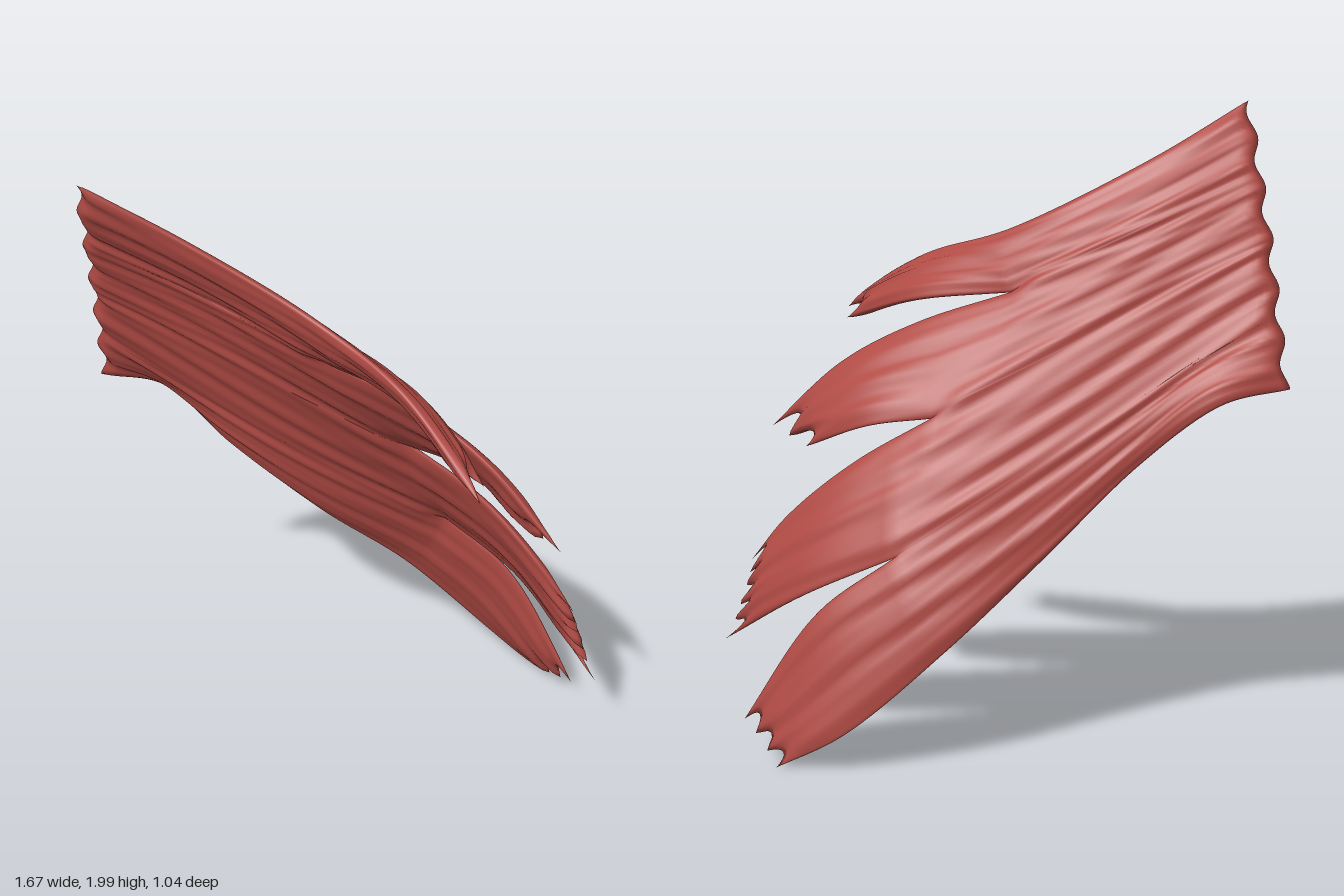
import * as THREE from 'three';
import { mergeVertices } from 'three/addons/utils/BufferGeometryUtils.js';

const ROWS = 80;        // steps along the fibres
const COLS = 26;        // steps across each slip
const HALF = 0.027;     // half thickness of the sheet

const vec = (x, y, z) => new THREE.Vector3(x, y, z);
const smooth = THREE.MathUtils.smoothstep;

// Attached border of the fan, bowed backward: t = 0 at the top, 1 at the bottom
const origin = (t) => vec(-0.81, 2, -0.13).lerp(vec(-0.83, 1.16, -0.5), t)
  .add(vec(0, 0, -0.03 * Math.sin(Math.PI * t)));

// Inner edge line: shared up to a notch, then parted into the edges above and below the gap
function innerEdge(k, row, notch, above, below) {
  const start = origin(k / 4);
  const middle = start.clone().lerp(notch, 0.5).add(vec(0, 0, 0.04 * (k - 2)));
  return {
    row,
    shared: new THREE.CatmullRomCurve3([start, middle, notch]),
    above: new THREE.CatmullRomCurve3([notch, ...above]),
    below: new THREE.CatmullRomCurve3([notch, ...below]),
  };
}

// Outer edge line: one free border from the origin to the tip
function outerEdge(t, points) {
  const line = new THREE.CatmullRomCurve3([origin(t), ...points]);
  return { row: 0, above: line, below: line };
}

const edges = [
  outerEdge(0, [vec(-0.5, 1.82, -0.12), vec(-0.1, 1.61, 0), vec(0.15, 1.5, 0.24), vec(0.37, 1.3, 0.525)]),
  innerEdge(1, 44, vec(-0.07, 1.42, -0.11),
    [vec(0.2, 1.38, 0.08), vec(0.39, 1.28, 0.4)],
    [vec(0.2, 1.32, 0), vec(0.43, 1.18, 0.13), vec(0.65, 0.95, 0.265)]),
  innerEdge(2, 52, vec(0.2, 1.05, -0.21),
    [vec(0.38, 1.02, -0.13), vec(0.56, 0.92, 0.06)],
    [vec(0.42, 0.91, -0.13), vec(0.62, 0.72, -0.01), vec(0.74, 0.56, 0.05)]),
  innerEdge(3, 56, vec(0.34, 0.66, -0.37),
    [vec(0.6, 0.51, -0.21), vec(0.83, 0.29, 0.08)],
    [vec(0.56, 0.48, -0.29), vec(0.785, 0.1, -0.15)]),
  outerEdge(1, [vec(-0.62, 1.12, -0.51), vec(-0.4, 0.93, -0.43), vec(-0.1, 0.65, -0.44),
    vec(0.2, 0.4, -0.49), vec(0.5, 0.14, -0.44), vec(0.7, 0.01, -0.34)]),
];

// Depth and number of the ragged teeth at the end of each slip
const tips = [[0.06, 1], [0.05, 2], [0.04, 5], [0.025, 3]];

function edgePoint(edge, side, u) {
  const n = edge.row / ROWS;
  if (u <= n && edge.shared) return edge.shared.getPointAt(u / n);
  return edge[side].getPointAt((u - n) / (1 - n));
}

// How far an edge has closed: 1 is a free edge, 0 is inside the sheet
const closed = (edge, r) => (edge.shared ? smooth(r, edge.row - 6, edge.row) : 1);

// Middle surface of all slips, joined where they share an edge line
function makeSheet() {
  const pos = [], thick = [], ridge = [], index = [];
  for (let k = 0; k < 4; k++) {
    const [depth, teeth] = tips[k];
    const base = pos.length / 3;
    for (let r = 0; r <= ROWS; r++) {
      const w = r / ROWS;
      for (let c = 0; c <= COLS; c++) {
        const s = (1 - Math.cos((Math.PI * c) / COLS)) / 2;
        const v = k + s;
        const rag = c % COLS ? depth * Math.abs(Math.sin(teeth * Math.PI * s)) : 0;
        const u = w - rag * smooth(w, 0.82, 1);
        const p = edgePoint(edges[k], 'below', u).lerp(edgePoint(edges[k + 1], 'above', u), s);
        p.x += 0.012 * Math.sin(9 * v) * Math.pow(1 - w, 10);
        pos.push(p.x, p.y, p.z);

        // Lens section towards free edges, rounded off at both ends
        const a = Math.max(0, 1 - 2 * s), b = Math.max(0, 2 * s - 1);
        const round = 1 - closed(edges[k], r) * a * a - closed(edges[k + 1], r) * b * b;
        const end = Math.min(1, r / 3, (ROWS - r) / 6);
        const f = Math.sqrt(Math.max(0, round) * end * (2 - end));
        thick.push(HALF * f);
        // Fibre ridges run along the slips and wander slightly
        ridge.push(f * (0.0035 * Math.sin(17 * v + 3 * Math.sin(5 * w + v))
          + 0.0025 * Math.sin(31 * v - 4 * Math.sin(4 * w + 2 * v))));
        if (r < ROWS && c < COLS) {
          const i = base + r * (COLS + 1) + c, j = i + COLS + 1;
          index.push(i, i + 1, j, i + 1, j + 1, j);
        }
      }
    }
  }
  const g = new THREE.BufferGeometry();
  g.setAttribute('position', new THREE.Float32BufferAttribute(pos, 3));
  g.setAttribute('thick', new THREE.Float32BufferAttribute(thick, 1));
  g.setAttribute('ridge', new THREE.Float32BufferAttribute(ridge, 1));
  g.setIndex(index);
  const merged = mergeVertices(g);
  merged.computeVertexNormals();
  return merged;
}

// Front and back skins, offset from the middle surface and joined at free edges
function thicken(sheet) {
  const { position, normal, thick, ridge } = sheet.attributes;
  const n = position.count, pos = [], index = [];
  const p = vec(), d = vec();
  for (const side of [1, -1]) {
    for (let i = 0; i < n; i++) {
      d.fromBufferAttribute(normal, i);
      p.fromBufferAttribute(position, i).addScaledVector(d, side * thick.getX(i) + ridge.getX(i));
      pos.push(p.x, p.y, p.z);
    }
  }
  const t = sheet.index.array;
  for (let i = 0; i < t.length; i += 3) {
    index.push(t[i], t[i + 1], t[i + 2], n + t[i], n + t[i + 2], n + t[i + 1]);
  }
  const g = new THREE.BufferGeometry();
  g.setAttribute('position', new THREE.Float32BufferAttribute(pos, 3));
  g.setIndex(index);
  const merged = mergeVertices(g);
  merged.computeVertexNormals();
  return merged;
}

export function createModel() {
  const group = new THREE.Group();
  group.name = 'muscle';
  const red = new THREE.MeshStandardMaterial({ color: 0xb04a44 });
  red.name = 'muscle red';
  const fan = new THREE.Mesh(thicken(makeSheet()), red);
  fan.name = 'fanOfFourSlips';
  group.add(fan);
  return group;
}
